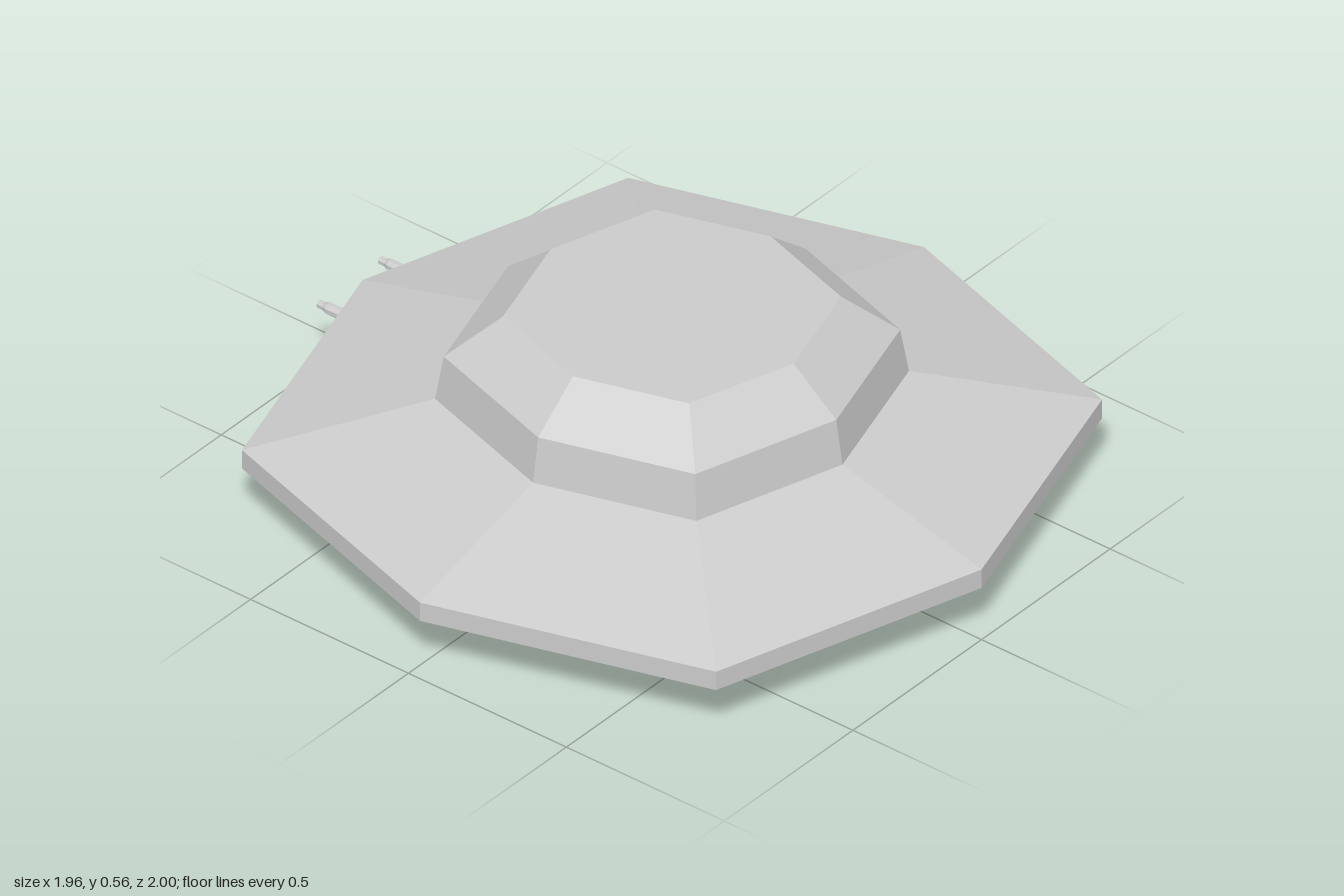
import * as THREE from 'three';

const material = new THREE.MeshStandardMaterial({ color: 0xcccccc, flatShading: true });
const CENTRE_Z = 0.02;
const DIAGONAL = 1.083; // diagonal corners reach slightly further than those on the axes

// Eight-sided ring body from a [radius, height] profile, listed bottom to top
function octagon(name, profile) {
  const geometry = new THREE.LatheGeometry(profile.map(([r, y]) => new THREE.Vector2(r, y)), 8);
  const pos = geometry.attributes.position;
  for (let i = 0; i < pos.count; i++) {
    const x = pos.getX(i), z = pos.getZ(i);
    const onDiagonal = Math.min(Math.abs(x), Math.abs(z)) > 0.01;
    const k = onDiagonal ? DIAGONAL : 1;
    pos.setXYZ(i, x * k, pos.getY(i), z * k);
  }
  geometry.computeVertexNormals();
  const mesh = new THREE.Mesh(geometry, material);
  mesh.name = name;
  mesh.position.z = CENTRE_Z;
  return mesh;
}

export function createModel() {
  const group = new THREE.Group();
  group.name = 'saucer';

  // Hull: shallow pointed belly, chamfer, thin rim and sloping deck
  group.add(octagon('belly', [[0, 0], [0.86, 0.105], [0.98, 0.155]]));
  group.add(octagon('rim', [[0.98, 0.155], [0.98, 0.21]]));
  group.add(octagon('deck', [[0.98, 0.21], [0.54, 0.33]]));

  // Cabin with a bevelled shoulder and flat roof
  group.add(octagon('cabin', [[0.54, 0.33], [0.52, 0.455], [0.385, 0.565], [0, 0.565]]));

  // Two small stepped nozzles at the back edge
  const nozzleProfile = [[0, 0], [0.016, 0], [0.016, 0.058], [0.011, 0.07], [0.011, 0.088], [0, 0.088]];
  for (const side of [-1, 1]) {
    const geometry = new THREE.LatheGeometry(nozzleProfile.map(([r, y]) => new THREE.Vector2(r, y)), 8, Math.PI / 8);
    geometry.rotateX(-Math.PI / 2);
    const nozzle = new THREE.Mesh(geometry, material);
    nozzle.name = side > 0 ? 'leftNozzle' : 'rightNozzle';
    nozzle.position.set(side * 0.12, 0.187, -0.912);
    group.add(nozzle);
  }
  return group;
}
